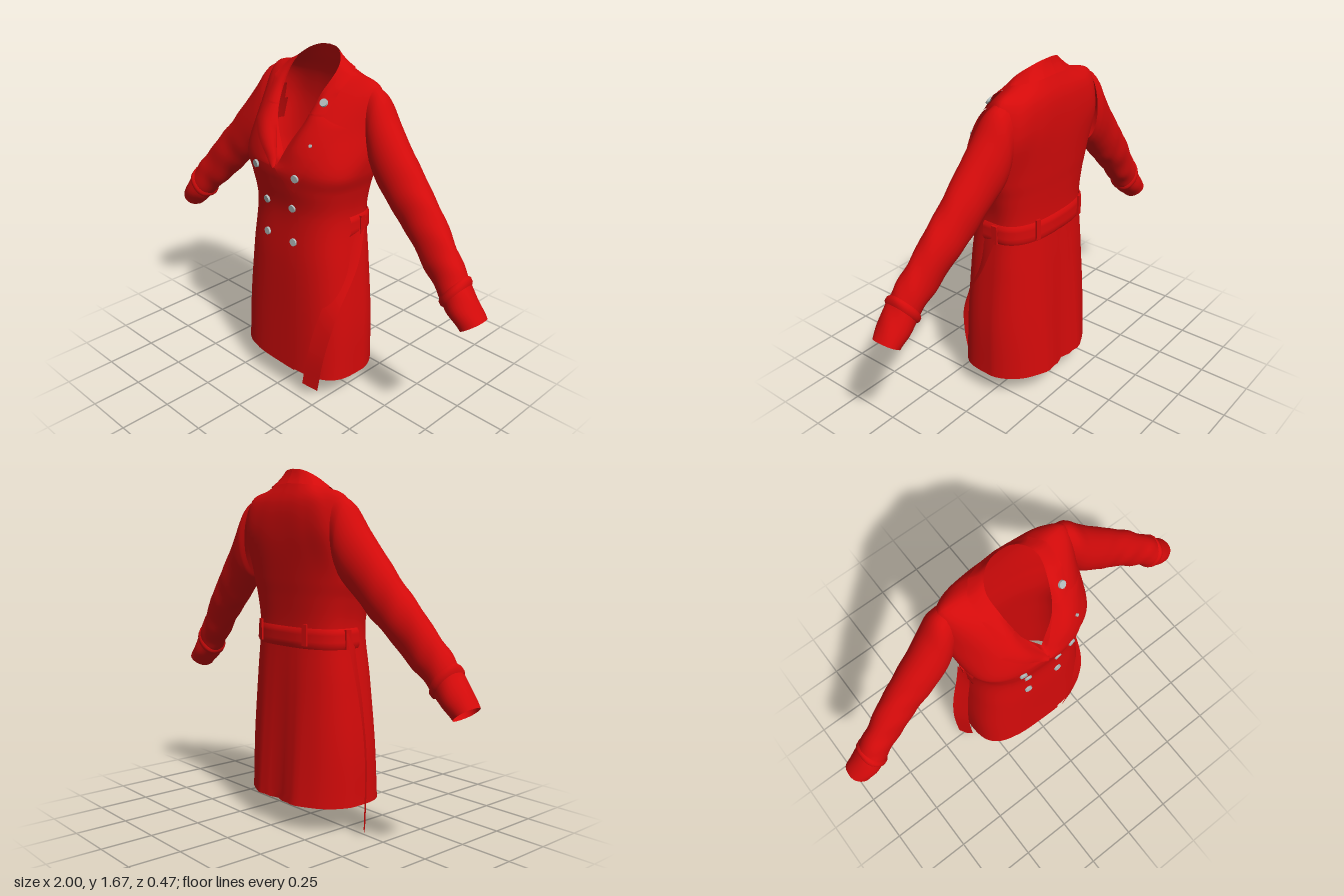
import * as THREE from 'three';

const V = (x, y, z) => new THREE.Vector3(x, y, z);
const { lerp, smoothstep } = THREE.MathUtils;
const red = new THREE.MeshStandardMaterial({ color: 0xd30a0a, side: THREE.DoubleSide });
red.name = 'red cloth';
const silver = new THREE.MeshStandardMaterial({ color: 0xb0baba });
silver.name = 'silver button';

// Smooth surface from fn(i, j); i runs around (optionally closed), j runs along; skip(p) leaves holes
function grid(ni, nj, fn, closed = false, skip = () => false) {
  const pts = [], idx = [], cols = closed ? ni : ni + 1;
  for (let j = 0; j <= nj; j++) for (let i = 0; i < cols; i++) pts.push(fn(i, j));
  for (let j = 0; j < nj; j++) for (let i = 0; i < ni; i++) {
    const k = (i + 1) % cols;
    const a = j * cols + i, b = j * cols + k, c = a + cols, d = b + cols;
    if (!skip(pts[a].clone().lerp(pts[d], 0.5))) idx.push(a, b, d, a, d, c);
  }
  const g = new THREE.BufferGeometry().setFromPoints(pts);
  g.setIndex(idx);
  g.computeVertexNormals();
  return g;
}

const spline = pts => new THREE.CatmullRomCurve3(pts.map(p => V(...p)));

// Skirt and waist sections: y, half width, front z, back z
const lower = [
  [0.125, 0.335, 0.228, -0.228], [0.4, 0.33, 0.22, -0.207], [0.7, 0.303, 0.212, -0.185],
  [0.95, 0.28, 0.2, -0.168], [1.08, 0.302, 0.22, -0.172], [1.17, 0.33, 0.23, -0.178],
];
// Chest, shoulder and neckline half rings, from centre front round to centre back
const upper = [
  [[0, 1.185, 0.215], [0.13, 1.28, 0.2], [0.25, 1.33, 0.12], [0.35, 1.36, -0.08], [0.29, 1.38, -0.16], [0.16, 1.38, -0.184], [0, 1.38, -0.186]],
  [[0, 1.192, 0.205], [0.12, 1.36, 0.16], [0.215, 1.45, 0.075], [0.32, 1.535, -0.085], [0.25, 1.515, -0.15], [0.13, 1.515, -0.17], [0, 1.515, -0.173]],
  [[0, 1.198, 0.192], [0.102, 1.37, 0.146], [0.155, 1.5, 0.058], [0.2, 1.574, -0.055], [0.15, 1.587, -0.11], [0.08, 1.597, -0.13], [0, 1.602, -0.134]],
  [[0, 1.205, 0.18], [0.087, 1.37, 0.134], [0.123, 1.51, 0.052], [0.132, 1.595, -0.025], [0.098, 1.64, -0.075], [0.05, 1.66, -0.1], [0, 1.665, -0.106]],
];
const upperCurves = upper.map(spline);

// Point on a section ring; t = 0 centre front, 1 centre back
function ringPoint(r, t) {
  if (r >= lower.length) return upperCurves[r - lower.length].getPoint(t);
  const [y, hx, zf, zb] = lower[r], a = Math.PI * t, c = Math.cos(a), z0 = -0.02;
  const k = Math.max(0, (0.95 - y) / 0.82); // grows from waist to hem: boxier front, rounder back
  const x = hx * Math.pow(Math.max(0, Math.sin(a)), c > 0 ? lerp(0.75, 0.63, k) : 0.75);
  let z = c > 0 ? z0 + (zf - z0) * Math.pow(c, lerp(0.7, 0.53, k)) : z0 + (zb - z0) * Math.pow(-c, lerp(0.8, 1.25, k));
  if (c < 0) z += k * (0.035 * Math.exp(-((x / 0.025) ** 2)) - 0.012 * Math.exp(-((x / 0.14) ** 2)) * Math.cos(x * 45)); // vent and pleats
  return V(x, y, z);
}

const HALF = 40, ROWS = 63, RINGS = lower.length + upper.length;
const columns = Array.from({ length: HALF + 1 }, (_, i) =>
  new THREE.CatmullRomCurve3(Array.from({ length: RINGS }, (_, r) => ringPoint(r, i / HALF))));
function bodyPoint(i, v) {
  const p = columns[i <= HALF ? i : 2 * HALF - i].getPoint(v);
  if (i > HALF) p.x *= -1;
  return p;
}

export function createModel() {
  const coat = new THREE.Group();
  coat.name = 'coat';
  const add = (name, geo, mat = red) => {
    const m = new THREE.Mesh(geo, mat);
    m.name = name;
    coat.add(m);
    return m;
  };

  // Body, with armholes opened where the sleeves join
  const armhole = p => Math.abs(p.x) > 0.28 && ((p.y - 1.365) / 0.13) ** 2 + ((p.z + 0.08) / 0.055) ** 2 < 1;
  const body = add('body', grid(2 * HALF, ROWS, (i, j) => bodyPoint(i, j / ROWS), true, armhole));
  body.updateMatrixWorld();
  const ray = new THREE.Raycaster();
  const hit = (x, y) => {
    ray.set(V(x, y, 1), V(0, 0, -1));
    return ray.intersectObject(body)[0];
  };
  const frontZ = (x, y) => hit(x, y)?.point.z ?? -1;

  // Overlapping front panel with a slanted upper edge
  const edge = y => (y < 1 ? 0.11 : 0.11 - (y - 1) * 0.55);
  add('frontPanel', grid(14, 40, (i, j) => {
    const y = 0.125 + j / 40 * 1.045, x = lerp(-0.17, edge(y), i / 14);
    return V(x, y, frontZ(x, Math.max(y, 0.13)) + 0.002 + 0.005 * i / 14);
  }));

  // Strip between an inner and outer edge that rests on the chest
  const strip = (name, inner, outer, s, n = 24) => {
    const A = spline(inner), B = new THREE.CatmullRomCurve3(outer.map(p => V(...p)), false, 'catmullrom', 0.1);
    add(name, grid(10, n, (i, j) => {
      const p = A.getPoint(j / n).lerp(B.getPoint(j / n), i / 10), f = frontZ(p.x, p.y);
      if (p.y < 1.53) p.z = Math.max(p.z, f + 0.01);
      p.z += 0.004 * Math.sin(Math.PI * i / 10);
      p.x *= s;
      return p;
    }));
  };

  // Lapel edges from the crossing up to the notch; the left lapel is broader
  const lapelIn = [[0.0, 1.17, 0.232], [0.04, 1.28, 0.185], [0.085, 1.37, 0.142], [0.099, 1.415, 0.118]];
  const lapelOut = {
    left: [[0.11, 1.07, 0.2], [0.21, 1.24, 0.17], [0.285, 1.375, 0.05], [0.185, 1.42, 0.1]],
    right: [[0.02, 1.16, 0.2], [0.1, 1.24, 0.2], [0.205, 1.335, 0.14], [0.165, 1.42, 0.1]],
  };
  // Collar edges, from the notch over the shoulder to centre back
  const collarIn = [[0.1, 1.42, 0.115], [0.124, 1.51, 0.06], [0.134, 1.597, -0.022], [0.098, 1.643, -0.078], [0.05, 1.663, -0.103], [0, 1.668, -0.109]];
  const collarOut = [[0.19, 1.43, 0.1], [0.205, 1.52, 0.04], [0.2, 1.579, -0.055], [0.15, 1.59, -0.116], [0.08, 1.597, -0.139], [0, 1.602, -0.143]];
  // Sleeve sections: top x, y, bottom x, y, middle z, half depth
  const sleeve = [
    [0.3, 1.542, 0.322, 1.185, -0.082, 0.078], [0.355, 1.51, 0.338, 1.16, -0.078, 0.09],
    [0.42, 1.42, 0.36, 1.135, -0.07, 0.093], [0.5, 1.32, 0.4, 1.095, -0.06, 0.09],
    [0.6, 1.205, 0.485, 1.015, -0.052, 0.085], [0.7, 1.092, 0.58, 0.932, -0.04, 0.078],
    [0.8, 0.975, 0.69, 0.826, -0.022, 0.071], [0.87, 0.885, 0.775, 0.75, -0.008, 0.07],
    [0.92, 0.81, 0.832, 0.692, 0, 0.076], [1.0, 0.7, 0.905, 0.63, -0.002, 0.066],
  ];
  const tops = spline(sleeve.map(r => [r[0], r[1], r[4]]));
  const bottoms = spline(sleeve.map(r => [r[2], r[3], r[4]]));
  const depths = spline(sleeve.map(r => [r[5], 0, 0]));
  const sleevePoint = (s, v, a, grow = 0) => {
    const t = tops.getPoint(v), b = bottoms.getPoint(v), mid = t.clone().lerp(b, 0.5);
    const soft = smoothstep(v, 0.3, 0.55) * 0.045;
    const k = 1 + grow + soft * Math.sin(v * 42 + 3 * Math.sin(a)) * Math.sin(a * 2 + v * 9);
    const p = mid.clone().addScaledVector(t.sub(mid), Math.cos(a) * k);
    p.z += depths.getPoint(v).x * Math.sin(a) * k;
    p.x *= s;
    return p;
  };
  const around = i => i / 28 * Math.PI * 2;

  for (const s of [1, -1]) {
    const side = s > 0 ? 'left' : 'right';
    strip(side + 'Lapel', lapelIn, lapelOut[side], s);
    strip(side + 'Collar', collarIn, collarOut, s);
    add(side + 'Sleeve', grid(28, 54, (i, j) => sleevePoint(s, j / 54, around(i)), true));
    // Cuff strap with raised edges
    add(side + 'CuffStrap', grid(28, 4, (i, j) =>
      sleevePoint(s, 0.81 + j * 0.0125, around(i), j % 4 ? 0.12 : 0.02), true));
    // Belt loops
    const loop = add(side + 'SideLoop', new THREE.BoxGeometry(0.012, 0.09, 0.03));
    loop.position.set(s * 0.294, 0.9, -0.03);
    const backLoop = add(side + 'BackLoop', new THREE.BoxGeometry(0.025, 0.1, 0.01));
    backLoop.position.set(s * 0.16, 0.92, -0.174);
    backLoop.rotation.y = s * -0.2;
  }

  // Belt round the back, from side to side
  add('belt', grid(44, 6, (i, j) => {
    const p = bodyPoint(i + 18, 0.288 + j * 0.0075), out = V(p.x, 0, p.z + 0.02).normalize();
    return p.addScaledVector(out, j % 6 ? 0.012 : 0.002);
  }));

  // Loose belt ends: path, width vectors at start and end, pointed or straight tip
  const tie = (name, path, w0, w1, pointed) => {
    const c = spline(path);
    add(name, grid(4, 30, (i, j) => {
      const p = c.getPoint(j / 30), w = i / 4 - 0.5;
      p.addScaledVector(w0.clone().lerp(w1, Math.min(1, j / 18)), w);
      if (pointed && j === 30) p.y += Math.abs(w) * 0.07;
      return p;
    }));
  };
  tie('rightTie', [[-0.295, 0.93, -0.02], [-0.315, 0.8, -0.01], [-0.352, 0.6, 0], [-0.375, 0.35, 0.01], [-0.368, 0, 0.012]],
    V(0.02, 0, 0.06), V(0.05, 0, 0.06), true);
  tie('leftTie', [[0.289, 0.93, -0.02], [0.302, 0.72, 0.05], [0.278, 0.5, 0.163], [0.238, 0.28, 0.208], [0.195, 0.058, 0.212]],
    V(0.01, -0.02, -0.07), V(0.08, -0.018, -0.025), false);

  // Double-breasted buttons, one on the collar and a small one half hidden on the lapel
  const disc = new THREE.CylinderGeometry(0.018, 0.019, 0.01, 14);
  for (const [x, y, size = 1] of [[-0.135, 1.15], [0.125, 1.15], [-0.09, 0.98], [0.08, 0.985], [-0.088, 0.815], [0.086, 0.815], [0.162, 1.465], [0.175, 1.3, 0.4]]) {
    const h = hit(x, y), n = h.face.normal.clone();
    if (n.z < 0) n.negate();
    const b = add('button', disc, silver);
    b.scale.set(size, 1, size);
    b.position.copy(h.point).addScaledVector(n, x > 0 && y > 1.1 ? 0.015 : 0.01);
    b.quaternion.setFromUnitVectors(V(0, 1, 0), n);
  }
  return coat;
}
